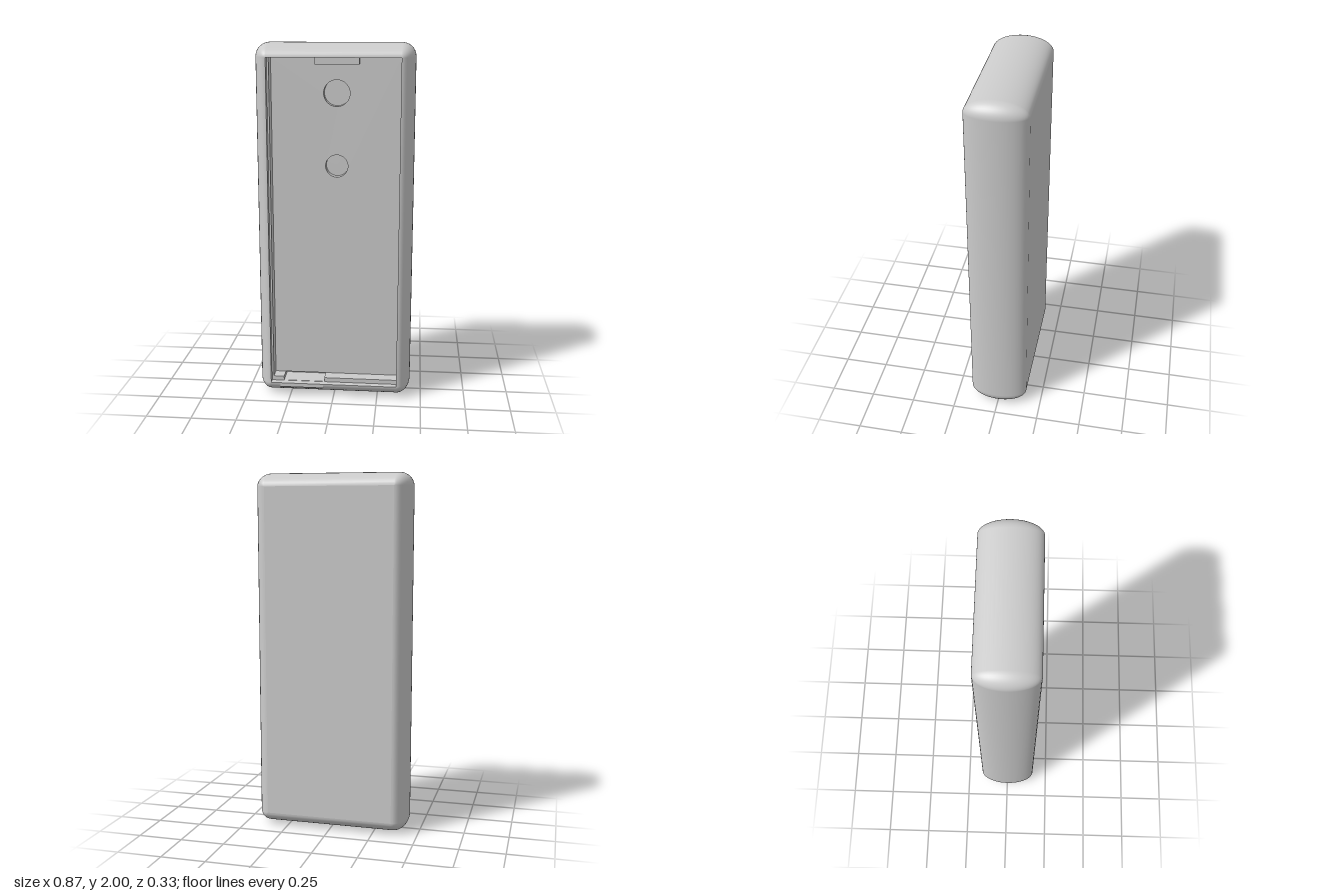
import * as THREE from 'three';

const W = 0.36, Y0 = 0.075, Y1 = 1.925, R = 0.076, D = 0.163; // flat face and bulge
const STEP = 0.125, FLOOR = 0.052, SINK = 0.045;             // pocket levels in z

const mat = new THREE.MeshStandardMaterial({ color: 0xcccccc, side: THREE.DoubleSide });

function add(parent, name, geometry, x = 0, y = 0, z = 0) {
  const mesh = new THREE.Mesh(geometry, mat);
  mesh.name = name;
  mesh.position.set(x, y, z);
  parent.add(mesh);
}

const pts = (list) => list.map(([x, y]) => new THREE.Vector2(x, y));
const rect = (x0, y0, x1, y1) => pts([[x0, y0], [x1, y0], [x1, y1], [x0, y1]]);

function plate(outline, holes = []) {
  const shape = new THREE.Shape(outline);
  shape.holes.push(...holes);
  return new THREE.ShapeGeometry(shape, 24);
}

// Inward-facing wall along a counter-clockwise outline
function wall(outline, z0, z1) {
  const pos = [];
  outline.forEach((a, i) => {
    const b = outline[(i + 1) % outline.length];
    pos.push(a.x, a.y, z0, b.x, b.y, z1, b.x, b.y, z0);
    pos.push(a.x, a.y, z0, a.x, a.y, z1, b.x, b.y, z1);
  });
  const g = new THREE.BufferGeometry();
  g.setAttribute('position', new THREE.Float32BufferAttribute(pos, 3));
  g.computeVertexNormals();
  return g;
}

// Rounded-rectangle loops swept through half an ellipse from back to front
function bulgedRim() {
  const rows = 24, arc = 10, pos = [], idx = [];
  const corners = [[W, Y0, -90], [W, Y1, 0], [-W, Y1, 90], [-W, Y0, 180]];
  const n = corners.length * (arc + 1);
  for (let j = 0; j <= rows; j++) {
    const t = (j / rows - 0.5) * Math.PI;
    const r = R * Math.cos(t);
    for (const [cx, cy, start] of corners) {
      for (let k = 0; k <= arc; k++) {
        const a = THREE.MathUtils.degToRad(start + (90 * k) / arc);
        pos.push(cx + r * Math.cos(a), cy + r * Math.sin(a), D * Math.sin(t));
      }
    }
  }
  for (let j = 0; j < rows; j++) {
    for (let i = 0; i < n; i++) {
      const a = j * n + i, b = j * n + ((i + 1) % n);
      idx.push(a, b, b + n, a, b + n, a + n);
    }
  }
  const g = new THREE.BufferGeometry();
  g.setAttribute('position', new THREE.Float32BufferAttribute(pos, 3));
  g.setIndex(idx);
  g.computeVertexNormals();
  return g;
}

export function createModel() {
  const group = new THREE.Group();
  group.name = 'case';

  // Outer shell
  add(group, 'roundedRim', bulgedRim());
  add(group, 'backPanel', new THREE.PlaneGeometry(2 * W, Y1 - Y0).rotateY(Math.PI), 0, (Y0 + Y1) / 2, -D);

  // Stepped pocket: narrower at one side and the bottom, notched for a latch
  const opening = rect(-W, Y0, W, Y1);
  const pocket = pts([
    [-0.35, 0.1], [-0.29, 0.1], [-0.29, 0.077], [-0.055, 0.077], [-0.055, 0.1],
    [W, 0.1], [W, Y1], [-0.35, Y1],
  ]);
  const holes = [[0.01, 1.73, 0.072], [0.01, 1.33, 0.062]];
  const circles = holes.map(([x, y, r]) => new THREE.Path().absarc(x, y, r, 0, Math.PI * 2, true));
  add(group, 'openingWall', wall(opening, STEP, D));
  add(group, 'ledge', plate(opening, [new THREE.Path(pocket)]), 0, 0, STEP);
  add(group, 'pocketWall', wall(pocket, FLOOR, STEP));
  add(group, 'pocketFloor', plate(rect(-0.35, 0.1, W, Y1), circles), 0, 0, FLOOR);

  // Latch slot sunk below the floor
  const slot = rect(-0.29, 0.077, -0.055, 0.1);
  add(group, 'latchSlotWall', wall(slot, FLOOR - SINK, FLOOR));
  add(group, 'latchSlotBottom', plate(slot), 0, 0, FLOOR - SINK);

  // Blind round holes in the floor
  for (const [x, y, r] of holes) {
    const tube = new THREE.CylinderGeometry(r, r, SINK, 48, 1, true).rotateX(Math.PI / 2);
    add(group, 'holeWall', tube, x, y, FLOOR - SINK / 2);
    add(group, 'holeBottom', new THREE.CircleGeometry(r, 48), x, y, FLOOR - SINK);
  }

  // Retaining tab under the top edge and latch lip at the bottom edge
  add(group, 'topTab', new THREE.BoxGeometry(0.24, 0.04, 0.05), 0.015, 1.907, 0.085);
  add(group, 'latchLip', new THREE.BoxGeometry(0.245, 0.02, 0.03), -0.183, 0.062, 0.1475);

  return group;
}
